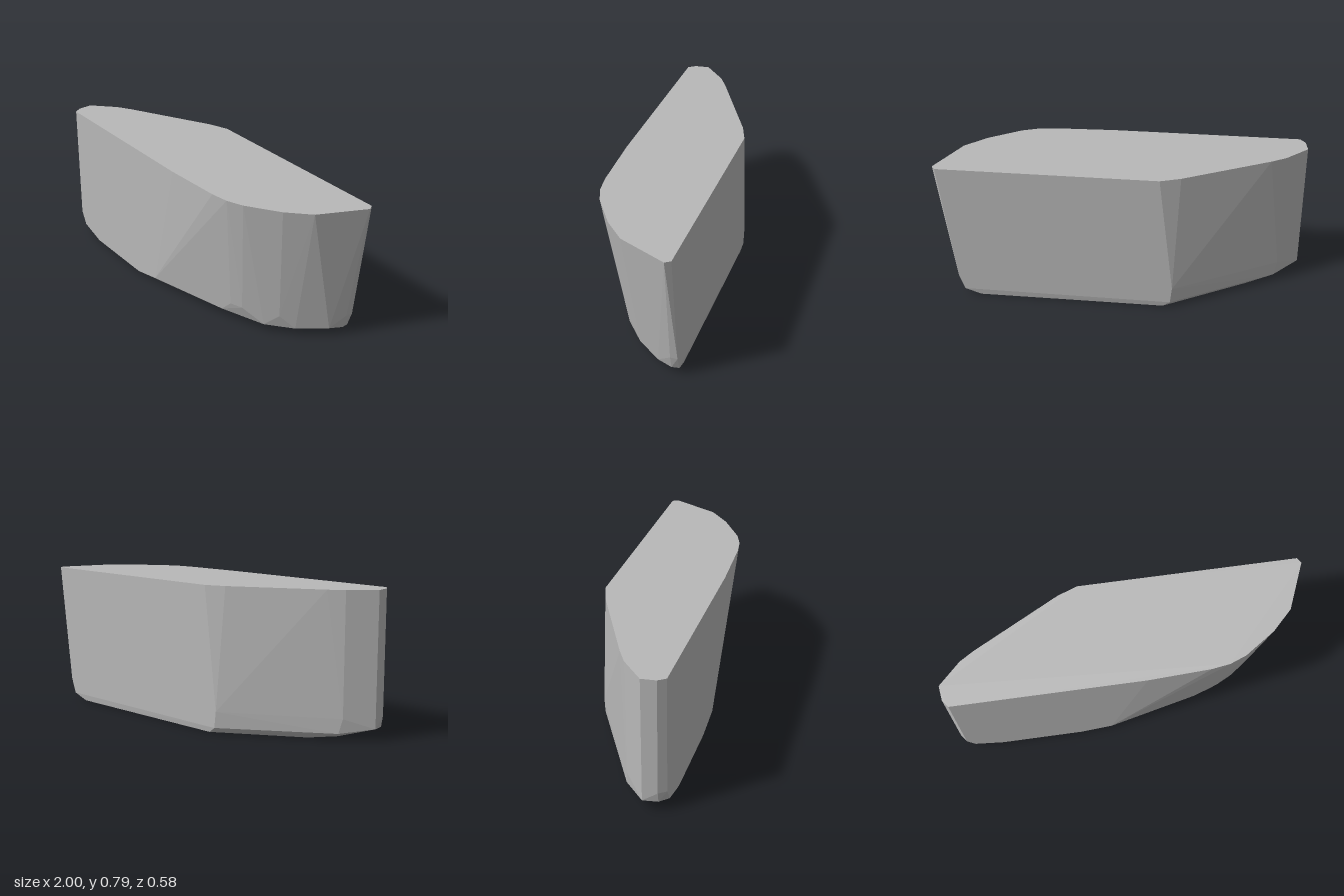
import * as THREE from 'three';
import { ConvexGeometry } from 'three/addons/geometries/ConvexGeometry.js';

// One level of the block: [x, z] corners at height y
const ring = (y, pts) => pts.map(([x, z]) => new THREE.Vector3(x, y, z));
// Loose corners given as [x, y, z]
const corners = (pts) => pts.map((p) => new THREE.Vector3(...p));

export function createModel() {
  const group = new THREE.Group();
  group.name = 'facetedBlock';

  const grey = new THREE.MeshStandardMaterial({ color: 0xb8b8b8 });
  grey.name = 'grey';

  // Flat top outline
  const top = ring(0.79, [
    [-0.96, 0.29], [0.08, 0.29], [0.42, 0.275], [0.52, 0.26], [0.61, 0.225],
    [0.78, 0.11], [0.89, 0], [1, -0.26], [0.98, -0.29],
    [-0.22, -0.29], [-0.33, -0.25], [-0.8, 0], [-0.88, 0.05], [-1, 0.17], [-0.99, 0.25],
  ]);

  // Waist just above the bevel, drawn in at the rounded end
  const waist = ring(0.12, [
    [-0.96, 0.29], [0.45, 0.175], [0.52, 0.15], [0.7, 0.04], [0.82, -0.1],
    [0.9, -0.25], [0.9, -0.29], [-0.3, -0.29], [-0.88, 0.05], [-1, 0.17], [-0.99, 0.25],
  ]);

  // Upper corners of the shallow bevel
  const bevel = corners([
    [-0.92, 0.045, 0.29], [-0.12, 0.04, 0.29], [0.38, 0.053, 0.18], [0.62, 0.042, 0.08],
    [0.75, 0.042, -0.03], [0.86, 0.05, -0.17], [0.88, 0.038, -0.25], [0.87, 0.035, -0.29],
    [-0.29, 0.03, -0.29], [-0.86, 0.04, 0.04], [-1, 0.065, 0.17], [-0.98, 0.06, 0.25],
    [-0.29, 0.55, -0.27],
  ]);

  // Flat underside
  const bottom = ring(0, [
    [-0.76, 0.29], [-0.3, 0.29], [0.3, 0.12], [0.6, -0.03], [0.78, -0.2],
    [0.78, -0.285], [-0.25, -0.285], [-0.7, -0.01], [-0.8, 0.12],
  ]);

  const body = new THREE.Mesh(new ConvexGeometry([...top, ...waist, ...bevel, ...bottom]), grey);
  body.name = 'body';
  group.add(body);
  return group;
}
